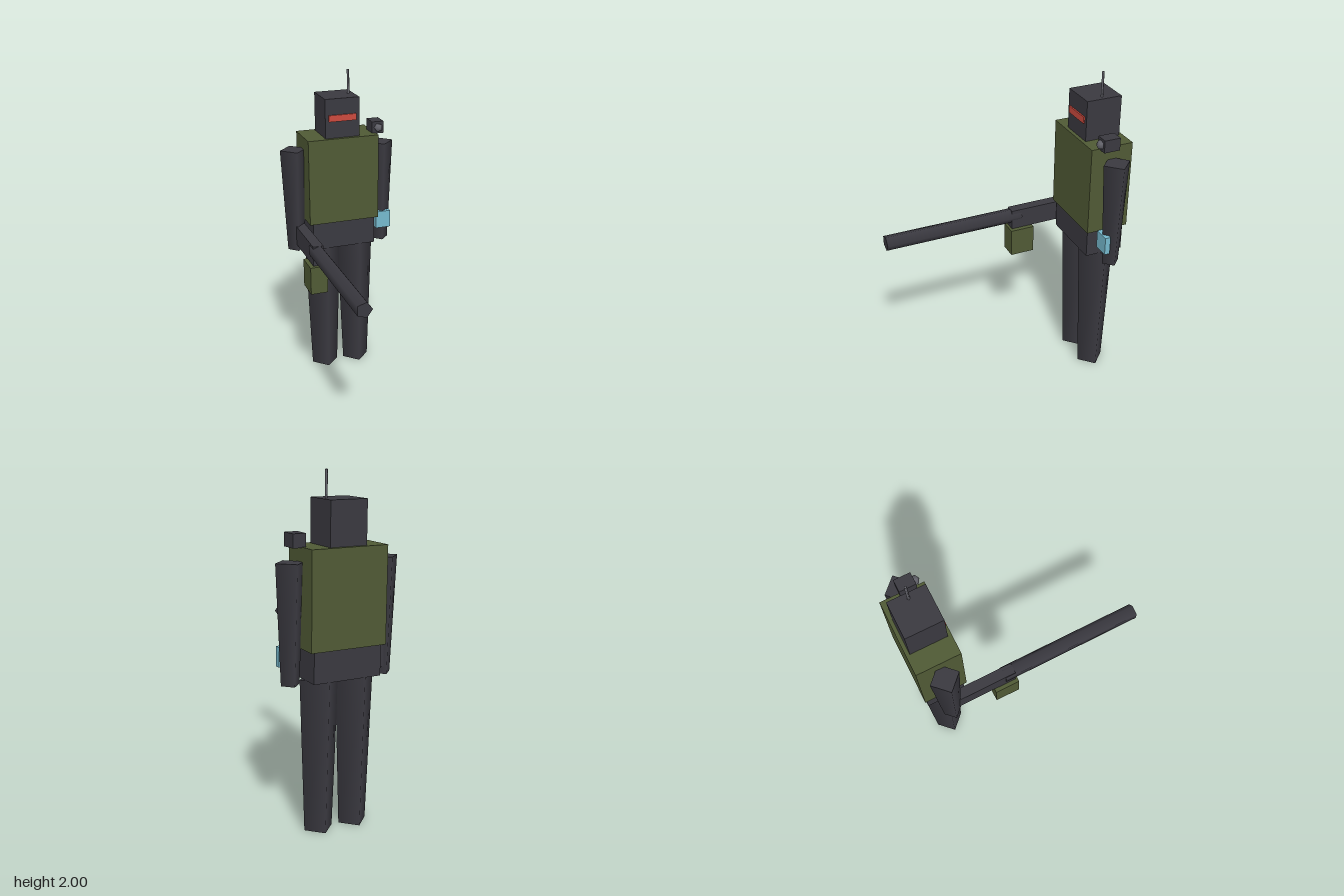
import * as THREE from 'three';

const mat = (name, color) => {
  const m = new THREE.MeshStandardMaterial({ color });
  m.name = name;
  return m;
};

export function createModel() {
  const group = new THREE.Group();
  const charcoal = mat('charcoal', 0x3a3940);
  const olive = mat('olive', 0x505a35);
  const red = mat('visor red', 0xcc4a3e);
  const cyan = mat('screen cyan', 0x76b9cd);
  const grey = mat('metal grey', 0x66666e);
  const Z = -0.55; // depth of the body axis

  const add = (name, geometry, material, x, y, z) => {
    const mesh = new THREE.Mesh(geometry, material);
    mesh.name = name;
    mesh.position.set(x, y, z);
    group.add(mesh);
    return mesh;
  };
  const box = (name, material, w, h, d, x, y, z) =>
    add(name, new THREE.BoxGeometry(w, h, d), material, x, y, z);

  // Body
  box('pelvis', charcoal, 0.41, 0.176, 0.238, 0, 0.973, Z);
  box('torso', olive, 0.456, 0.545, 0.264, 0, 1.333, Z);
  box('head', charcoal, 0.22, 0.245, 0.22, 0, 1.7275, Z);
  box('visor', red, 0.176, 0.04, 0.009, 0, 1.73, -0.4355);
  add('antenna', new THREE.CylinderGeometry(0.008, 0.008, 0.15, 4), grey, 0.076, 1.925, Z);

  // Tapered four-sided limbs
  for (const [side, s] of [['left', 1], ['right', -1]]) {
    add(side + 'Leg', new THREE.CylinderGeometry(0.12, 0.0875, 0.885, 4), charcoal, s * 0.11, 0.4425, Z);
    add(side + 'Arm', new THREE.CylinderGeometry(0.086, 0.055, 0.662, 4), charcoal, s * 0.287, 1.196, Z);
  }

  // Wrist screen on the left forearm
  box('wristScreen', cyan, 0.1, 0.112, 0.034, 0.286, 1.014, -0.497);

  // Shoulder camera with a pointed lens
  box('shoulderCamera', charcoal, 0.076, 0.076, 0.1, 0.242, 1.639, -0.518);
  const lens = new THREE.SphereGeometry(0.031, 5, 3);
  lens.rotateX(Math.PI / 2);
  add('cameraLens', lens, grey, 0.243, 1.64, -0.467);

  // Heavy gun held on the right side
  box('gunBody', charcoal, 0.065, 0.126, 0.46, -0.265, 0.971, -0.365);
  const barrel = new THREE.CylinderGeometry(0.048, 0.048, 0.88, 5);
  barrel.rotateX(Math.PI / 2);
  barrel.rotateZ(Math.PI / 2); // one corner points to the body
  add('gunBarrel', barrel, charcoal, -0.265, 0.99, 0.24);
  box('ammoBox', olive, 0.108, 0.176, 0.153, -0.266, 0.815, -0.199);

  return group;
}
